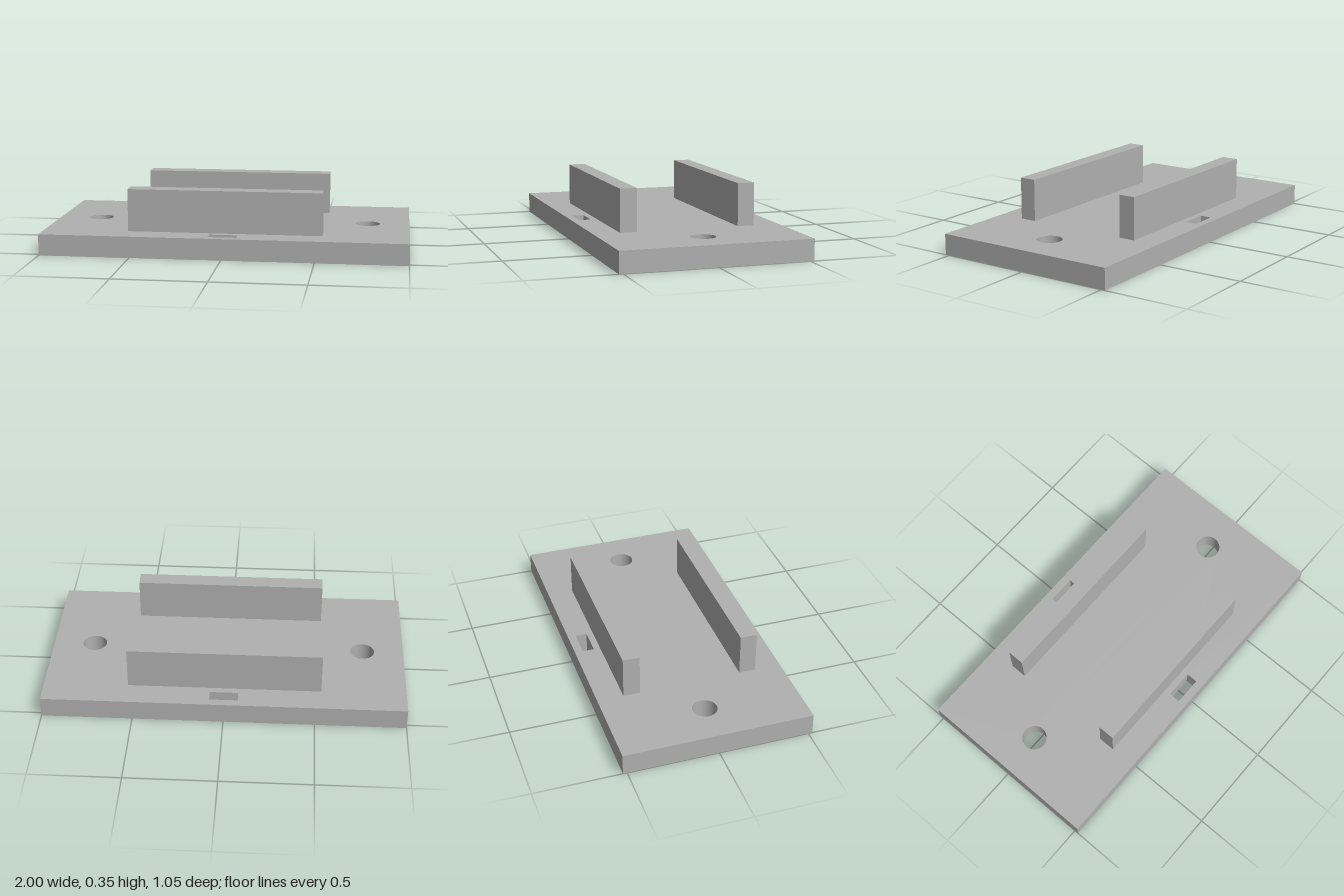
import * as THREE from 'three';

const PLATE = { halfX: 1, halfZ: 0.523, height: 0.117 };
const RAIL = { length: 1.066, height: 0.234, depth: 0.093, z: 0.331 };
const SLOT = { halfX: 0.078, halfZ: 0.032, z: 0.446 };
const HOLE = { radius: 0.068, x: 0.767 };

// Closed rectangular outline centred on (0, cy)
function rectangle(Type, halfX, halfY, cy = 0) {
  const path = new Type();
  path.moveTo(-halfX, cy - halfY);
  path.lineTo(halfX, cy - halfY);
  path.lineTo(halfX, cy + halfY);
  path.lineTo(-halfX, cy + halfY);
  path.closePath();
  return path;
}

export function createModel() {
  const model = new THREE.Group();
  model.name = 'mountingBracket';
  const grey = new THREE.MeshStandardMaterial({ color: 0xb0b0b0 });
  grey.name = 'grey';

  // Base plate with two round screw holes and two tie slots
  const outline = rectangle(THREE.Shape, PLATE.halfX, PLATE.halfZ);
  for (const side of [-1, 1]) {
    const hole = new THREE.Path();
    hole.absarc(side * HOLE.x, 0, HOLE.radius, 0, Math.PI * 2, true);
    outline.holes.push(hole, rectangle(THREE.Path, SLOT.halfX, SLOT.halfZ, side * SLOT.z));
  }
  const plateGeometry = new THREE.ExtrudeGeometry(outline, {
    depth: PLATE.height, bevelEnabled: false, curveSegments: 48,
  });
  plateGeometry.rotateX(-Math.PI / 2);
  const plate = new THREE.Mesh(plateGeometry, grey);
  plate.name = 'basePlate';
  model.add(plate);

  // Upright rails, mirrored front and back
  const railGeometry = new THREE.BoxGeometry(RAIL.length, RAIL.height, RAIL.depth);
  for (const side of [-1, 1]) {
    const rail = new THREE.Mesh(railGeometry, grey);
    rail.name = side > 0 ? 'frontRail' : 'backRail';
    rail.position.set(0, PLATE.height + RAIL.height / 2, side * RAIL.z);
    model.add(rail);
  }
  return model;
}
